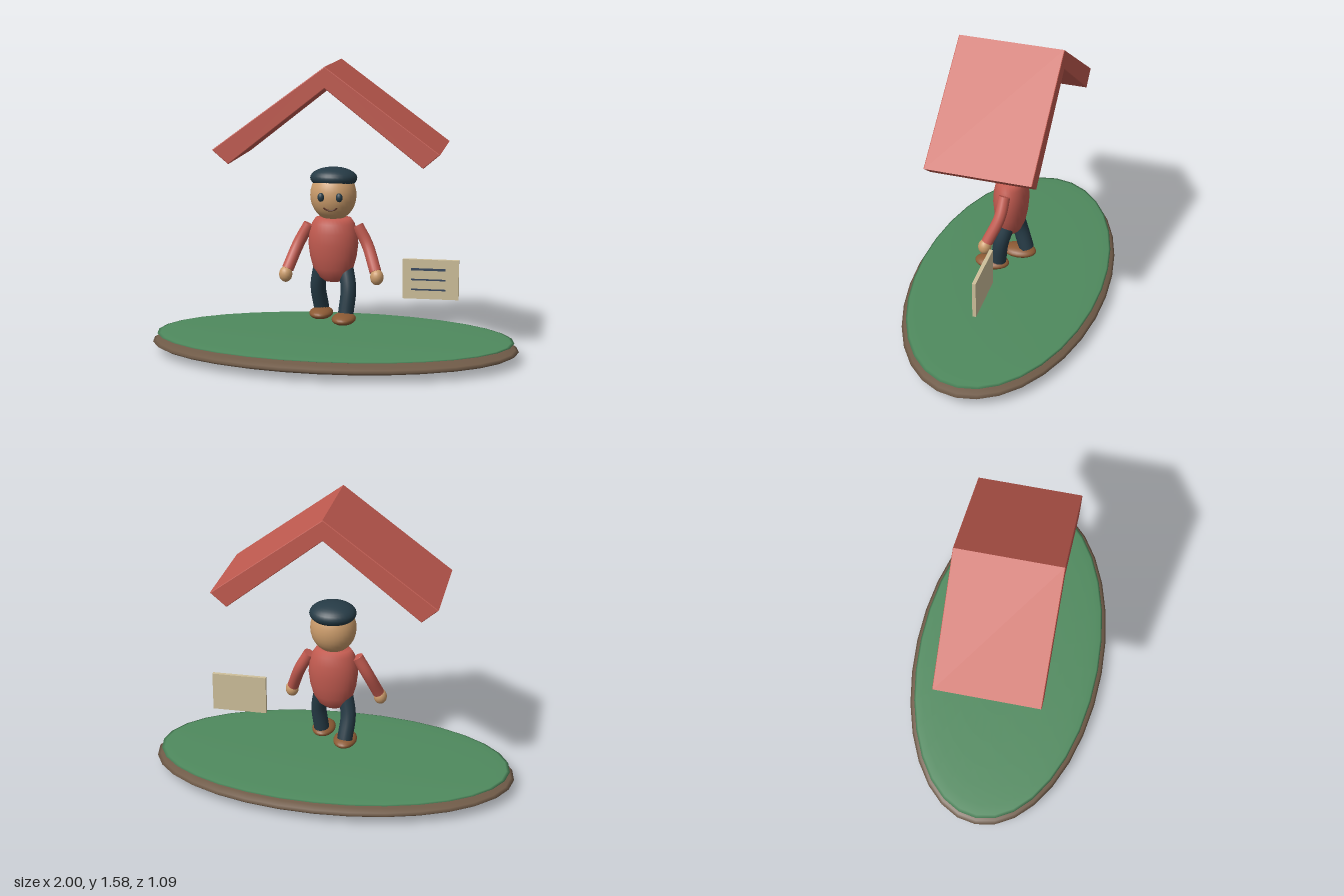
import * as THREE from 'three';

const mat = (color) => new THREE.MeshStandardMaterial({ color });
const M = {
  red: mat(0xc25b50), skin: mat(0xcb9c6b), dark: mat(0x263b46), shoe: mat(0x8c5a34),
  grass: mat(0x4f8a5e), soil: mat(0x705b48), board: mat(0xcfc09b), ink: mat(0x39495f), mouth: mat(0x5a3326),
};

function add(parent, name, geometry, material, x = 0, y = 0, z = 0) {
  const mesh = new THREE.Mesh(geometry, material);
  mesh.name = name;
  mesh.position.set(x, y, z);
  parent.add(mesh);
  return mesh;
}

// Stretched sphere given by its centre and three radii
function ellipsoid(parent, name, material, center, radii, segments = 32) {
  const geometry = new THREE.SphereGeometry(1, segments, segments / 2).scale(...radii);
  return add(parent, name, geometry, material, ...center);
}

// Bent tube with flat closed ends
function limb(parent, name, material, points, radius) {
  const curve = new THREE.CatmullRomCurve3(points.map((p) => new THREE.Vector3(...p)));
  const group = new THREE.Group();
  group.name = name;
  add(group, name + 'Tube', new THREE.TubeGeometry(curve, 16, radius, 16), material);
  for (const t of [0, 1]) {
    const end = curve.getPointAt(t);
    const cap = add(group, name + 'End', new THREE.CircleGeometry(radius, 16), material, ...end.toArray());
    const out = curve.getTangentAt(t).multiplyScalar(t ? 1 : -1);
    cap.quaternion.setFromUnitVectors(new THREE.Vector3(0, 0, 1), out);
  }
  parent.add(group);
}

function createPerson() {
  const person = new THREE.Group();
  person.name = 'person';

  // Torso: a turned profile flattened front to back
  const profile = [[0, 0.405], [0.045, 0.413], [0.08, 0.437], [0.108, 0.485], [0.126, 0.55], [0.135, 0.62],
    [0.13, 0.68], [0.115, 0.73], [0.095, 0.76], [0, 0.766]].map((p) => new THREE.Vector2(...p));
  add(person, 'torso', new THREE.LatheGeometry(profile, 32).scale(1, 1, 0.7), M.red);

  // Head, cap and face
  ellipsoid(person, 'head', M.skin, [0, 0.882, 0], [0.124, 0.138, 0.113]);
  ellipsoid(person, 'cap', M.dark, [0, 0.972, -0.012], [0.126, 0.059, 0.112]).rotation.x = -0.06;
  const smile = new THREE.TorusGeometry(0.04, 0.005, 8, 20, Math.PI * 0.72);
  smile.rotateZ(Math.PI * 1.14).scale(1, 0.75, 1);
  add(person, 'smile', smile, M.mouth, 0, 0.843, 0.109).rotation.x = 0.2;

  for (const [side, label] of [[1, 'left'], [-1, 'right']]) {
    ellipsoid(person, label + 'Eye', M.dark, [side * 0.049, 0.885, 0.109], [0.018, 0.024, 0.016], 16);

    // Arms hang outward and slightly forward
    limb(person, label + 'Arm', M.red,
      [[side * 0.13, 0.72, 0], [side * 0.185, 0.62, 0.01], [side * 0.237, 0.485, 0.065]], 0.032);
    ellipsoid(person, label + 'Hand', M.skin, [side * 0.246, 0.458, 0.076], [0.036, 0.043, 0.036], 20);

    // Legs in mid stride, left foot leading
    const ankle = side > 0 ? 0.05 : -0.065;
    limb(person, label + 'Leg', M.dark,
      [[side * 0.065, 0.5, 0], [side * 0.087, 0.38, ankle * 0.5 + 0.008], [side * 0.076, 0.25, ankle]], 0.042);
    ellipsoid(person, label + 'Shoe', M.shoe, [side * 0.071, 0.228, ankle + 0.04], [0.064, 0.03, 0.096], 24);
  }
  return person;
}

function createSign() {
  const sign = new THREE.Group();
  sign.name = 'sign';
  add(sign, 'board', new THREE.BoxGeometry(0.3, 0.214, 0.02), M.board, 0.525, 0.44, 0);
  [0.494, 0.438, 0.384].forEach((y, i) => {
    add(sign, 'signLine', new THREE.BoxGeometry(0.184, i ? 0.008 : 0.012, 0.004), M.ink, 0.513, y, 0.011);
  });
  return sign;
}

export function createModel() {
  const model = new THREE.Group();
  model.name = 'personUnderRoof';

  // Oval ground
  ellipsoid(model, 'soil', M.soil, [0, 0.06, 0], [1, 0.058, 0.545]);
  ellipsoid(model, 'grass', M.grass, [0, 0.106, 0], [0.975, 0.016, 0.52]);

  // Gable roof: chevron section run front to back
  const bevel = 0.004;
  const section = new THREE.Shape([[0, 1.58], [-0.587, 1.147], [-0.507, 1.079], [0, 1.479],
    [0.507, 1.079], [0.587, 1.147]].map((p) => new THREE.Vector2(...p)));
  const roof = new THREE.ExtrudeGeometry(section, {
    depth: 0.548, bevelSize: bevel, bevelThickness: bevel, bevelSegments: 2,
  });
  add(model, 'roof', roof, M.red, 0, 0, -0.274);

  model.add(createPerson(), createSign());
  return model;
}
